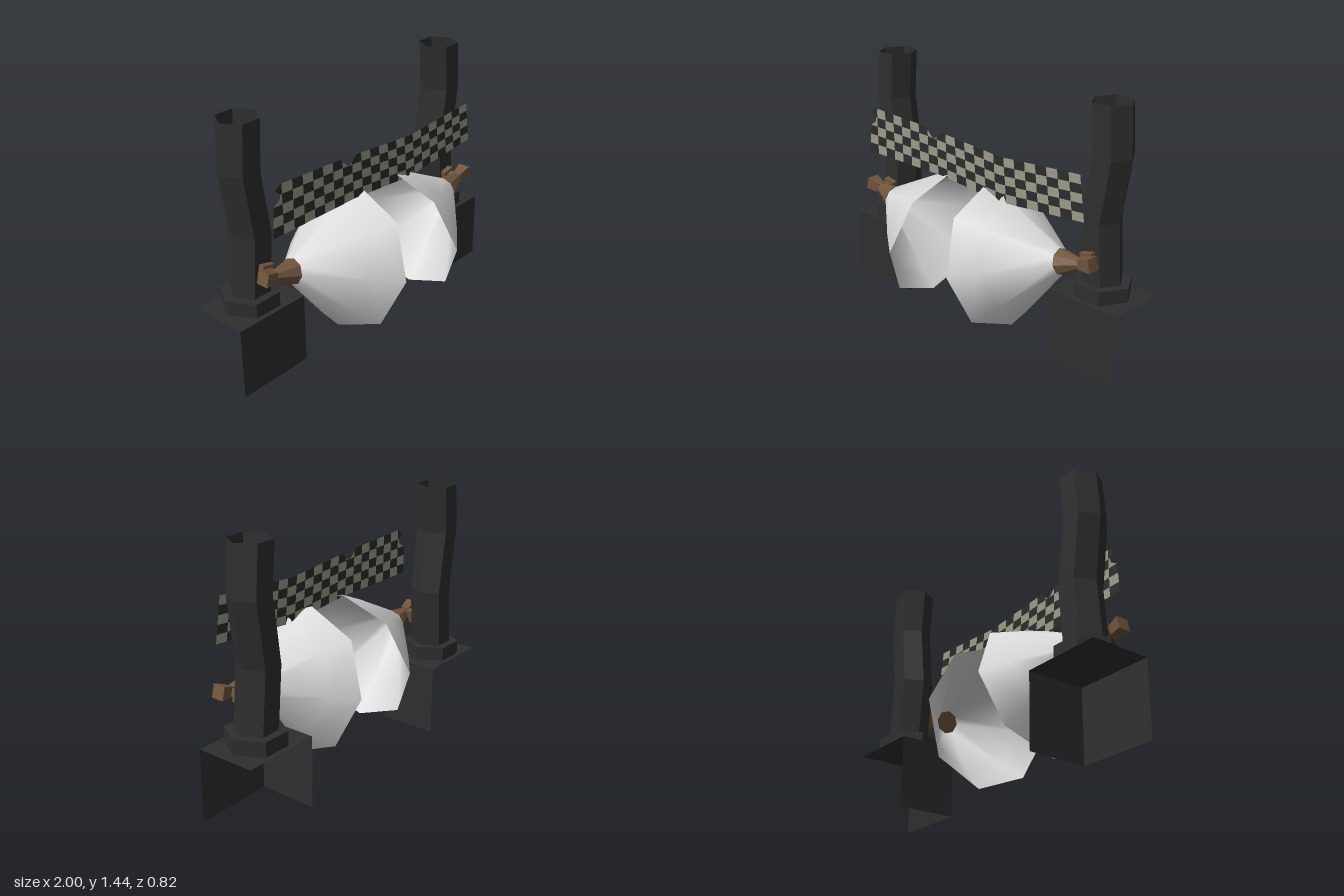
import * as THREE from 'three';

const mat = (name, color, flat = true) =>
  new THREE.MeshStandardMaterial({ name, color, flatShading: flat, side: THREE.DoubleSide });

// Piecewise-linear lookup through [input, output] points
function lerpPath(points, t) {
  for (let i = 1; i < points.length; i++) {
    const [a, va] = points[i - 1], [b, vb] = points[i];
    if (t <= b) return va + (vb - va) * Math.max(0, (t - a) / (b - a));
  }
  return points[points.length - 1][1];
}

function add(parent, name, geometry, material, x = 0, y = 0, z = 0) {
  const mesh = new THREE.Mesh(geometry, material);
  mesh.name = name;
  mesh.position.set(x, y, z);
  parent.add(mesh);
  return mesh;
}

// Open-sided base, hexagonal collar and crooked hollow post
function buildPost(dark) {
  const g = new THREE.Group();
  g.name = 'postAssembly';
  const W = 0.447, H = 0.405, D = 0.335, cx = 0.7765, cz = -0.183;
  add(g, 'baseFront', new THREE.PlaneGeometry(W, H), dark, cx, H / 2, cz + D / 2);
  add(g, 'baseInnerSide', new THREE.PlaneGeometry(D, H).rotateY(-Math.PI / 2), dark, cx - W / 2, H / 2, cz);
  add(g, 'baseTop', new THREE.PlaneGeometry(W, D).rotateX(-Math.PI / 2), dark, cx, H, cz);
  add(g, 'collar', new THREE.CylinderGeometry(0.162, 0.162, 0.08, 6).rotateY(Math.PI / 2), dark, 0.78, 0.445, cz);

  const rings = [[1.44, 0.78], [1.17, 0.799], [0.82, 0.75], [0.48, 0.777]];
  const post = new THREE.CylinderGeometry(0.1125, 0.1125, 3, 6, 3, true).rotateY(Math.PI / 2);
  const p = post.attributes.position;
  for (let i = 0; i < p.count; i++) {
    const [y, x] = rings[Math.round(1.5 - p.getY(i))];
    p.setXYZ(i, p.getX(i) + x, y, p.getZ(i) + cz);
  }
  post.computeVertexNormals();
  add(g, 'post', post, dark);
  return g;
}

// Bell-shaped horn with its driver and wall bracket, all on one tilted axis
function buildHorn(white, brown) {
  const g = new THREE.Group();
  g.name = 'horn';
  g.position.set(0.222, 0.503, 0);
  g.rotation.z = -1.342;
  const profile = [[0.408, 0], [0.306, 0.14], [0.06, 0.445]].map(([r, y]) => new THREE.Vector2(r, y));
  add(g, 'bell', new THREE.LatheGeometry(profile, 8), white);
  add(g, 'throat', new THREE.CylinderGeometry(0.026, 0.072, 0.13, 8), brown, 0, 0.5, 0);
  add(g, 'driver', new THREE.CylinderGeometry(0.052, 0.036, 0.08, 4).rotateY(Math.PI / 4), brown, 0, 0.6, 0);
  add(g, 'bracketArm', new THREE.BoxGeometry(0.042, 0.042, 0.07), brown, 0, 0.553, -0.033);
  add(g, 'bracketPlate', new THREE.BoxGeometry(0.075, 0.075, 0.034), brown, 0, 0.553, -0.07);
  return g;
}

// Torn chequered banner: alternating tiles on a sagging strip
function buildBanner(light, dark) {
  const g = new THREE.Group();
  g.name = 'banner';
  const COLS = 22, ROWS = 5, SU = 4, SV = 2;
  const top = [[-0.78, 1.143], [-0.31, 1.123], [0.25, 1.08], [0.77, 1.117]];
  const bottom = [[-0.8, 0.865], [-0.2, 0.865], [0.25, 0.83], [0.81, 0.877]];
  const topTear = [[-0.8, 1.11], [-0.72, 1.15], [-0.32, 1.13], [-0.25, 1.06], [-0.18, 1.125], [-0.1, 1.2]];
  const bottomTear = [[0.235, 0.8], [0.272, 0.885], [0.31, 0.8]];
  const leftEdge = [[0, -0.73], [0.1, -0.77], [0.25, -0.72], [0.4, -0.785], [1, -0.797]];

  const point = (u, v) => {
    const right = 0.77 + 0.037 * v;
    let x = -0.797 + (right + 0.797) * u;
    x = Math.max(x, lerpPath(leftEdge, v));
    const yt = lerpPath(top, x), yb = lerpPath(bottom, x);
    let y = yt + (yb - yt) * v;
    y = Math.max(Math.min(y, lerpPath(topTear, x)), lerpPath(bottomTear, x));
    return [x, y, 0.04];
  };

  const tiles = [[], []];
  for (let i = 0; i < COLS * SU; i++) {
    for (let j = 0; j < ROWS * SV; j++) {
      const [u0, u1] = [i / (COLS * SU), (i + 1) / (COLS * SU)];
      const [v0, v1] = [j / (ROWS * SV), (j + 1) / (ROWS * SV)];
      const a = point(u0, v0), b = point(u0, v1), c = point(u1, v1), d = point(u1, v0);
      const kind = (Math.floor(i / SU) + Math.floor(j / SV)) % 2;
      tiles[kind].push(...a, ...b, ...c, ...a, ...c, ...d);
    }
  }
  tiles.forEach((verts, kind) => {
    const geo = new THREE.BufferGeometry();
    geo.setAttribute('position', new THREE.Float32BufferAttribute(verts, 3));
    const normals = verts.map((_, i) => (i % 3 === 2 ? 1 : 0));
    geo.setAttribute('normal', new THREE.Float32BufferAttribute(normals, 3));
    add(g, kind ? 'lightTiles' : 'darkTiles', geo, kind ? light : dark);
  });
  return g;
}

export function createModel() {
  const dark = mat('charcoal', 0x2e2e2e);
  const white = mat('hornWhite', 0xdcdcdc, false);
  const brown = mat('bronzeBrown', 0x70553c);
  const light = mat('bannerGrey', 0x9a9b88, false);
  const tileDark = mat('bannerBlack', 0x2a2c2a, false);

  const model = new THREE.Group();
  model.name = 'hornGate';
  for (const side of [1, -1]) {
    const half = new THREE.Group();
    half.name = side > 0 ? 'leftSide' : 'rightSide';
    half.scale.x = side;
    half.add(buildPost(dark), buildHorn(white, brown));
    model.add(half);
  }
  model.add(buildBanner(light, tileDark));
  return model;
}
